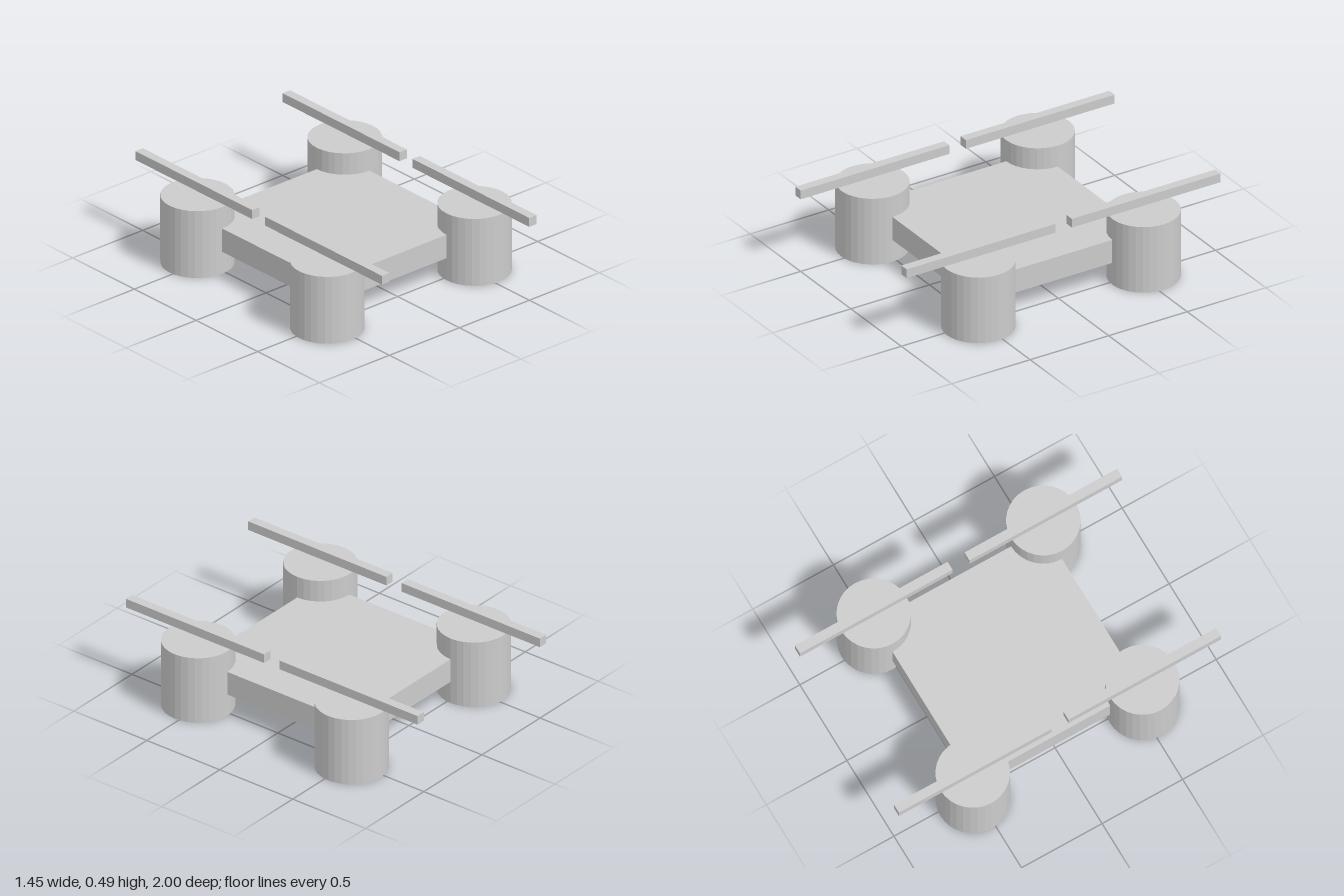
import * as THREE from 'three';

const ARM = 0.526; // distance of each rotor axis from the centre lines

export function createModel() {
  const model = new THREE.Group();
  model.name = 'quadcopter';
  const material = new THREE.MeshStandardMaterial({ color: 0xcccccc, flatShading: true });

  const add = (parent, name, geometry, y) => {
    const mesh = new THREE.Mesh(geometry, material);
    mesh.name = name;
    mesh.position.y = y;
    parent.add(mesh);
  };

  // Flat square body joining the four motors
  add(model, 'body', new THREE.BoxGeometry(ARM * 2, 0.14, ARM * 2), 0.202);

  // One motor with a blade hovering above it at each corner
  const motorGeometry = new THREE.CylinderGeometry(0.2, 0.2, 0.4, 32);
  const bladeGeometry = new THREE.BoxGeometry(0.053, 0.053, 0.947);
  for (const [side, x] of [['Left', ARM], ['Right', -ARM]]) {
    for (const [end, z] of [['front', ARM], ['back', -ARM]]) {
      const rotor = new THREE.Group();
      rotor.name = `${end}${side}Rotor`;
      rotor.position.set(x, 0, z);
      add(rotor, 'motor', motorGeometry, 0.2);
      add(rotor, 'blade', bladeGeometry, 0.466);
      model.add(rotor);
    }
  }
  return model;
}
